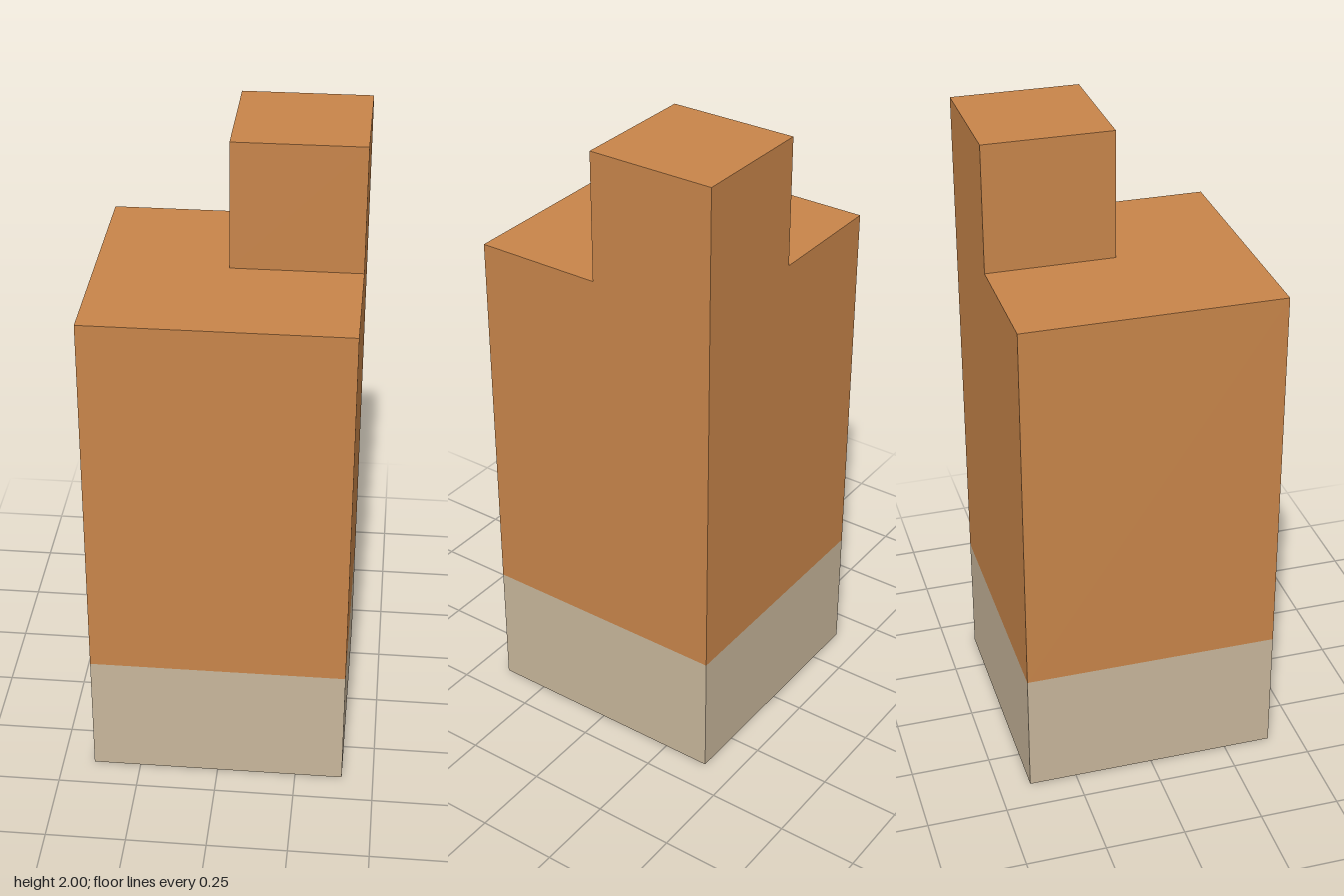
import * as THREE from 'three';

const orange = new THREE.MeshStandardMaterial({ color: 0xc8854a });
orange.name = 'orange';
const beige = new THREE.MeshStandardMaterial({ color: 0xc8b69b });
beige.name = 'beige';

// Box given by its size and the centre of its bottom face
function block(name, [w, h, d], [x, y, z], material) {
  const geometry = new THREE.BoxGeometry(w, h, d).translate(0, h / 2, 0);
  const mesh = new THREE.Mesh(geometry, material);
  mesh.name = name;
  mesh.position.set(x, y, z);
  return mesh;
}

export function createModel() {
  const model = new THREE.Group();
  model.name = 'blockTower';
  model.add(
    block('base', [0.8, 0.4, 0.8], [0, 0, 0], beige),
    block('body', [0.8, 1.2, 0.8], [0, 0.4, 0], orange),
    // Small turret on the back left corner
    block('turret', [0.4, 0.4, 0.4], [0.2, 1.6, -0.2], orange),
  );
  return model;
}
